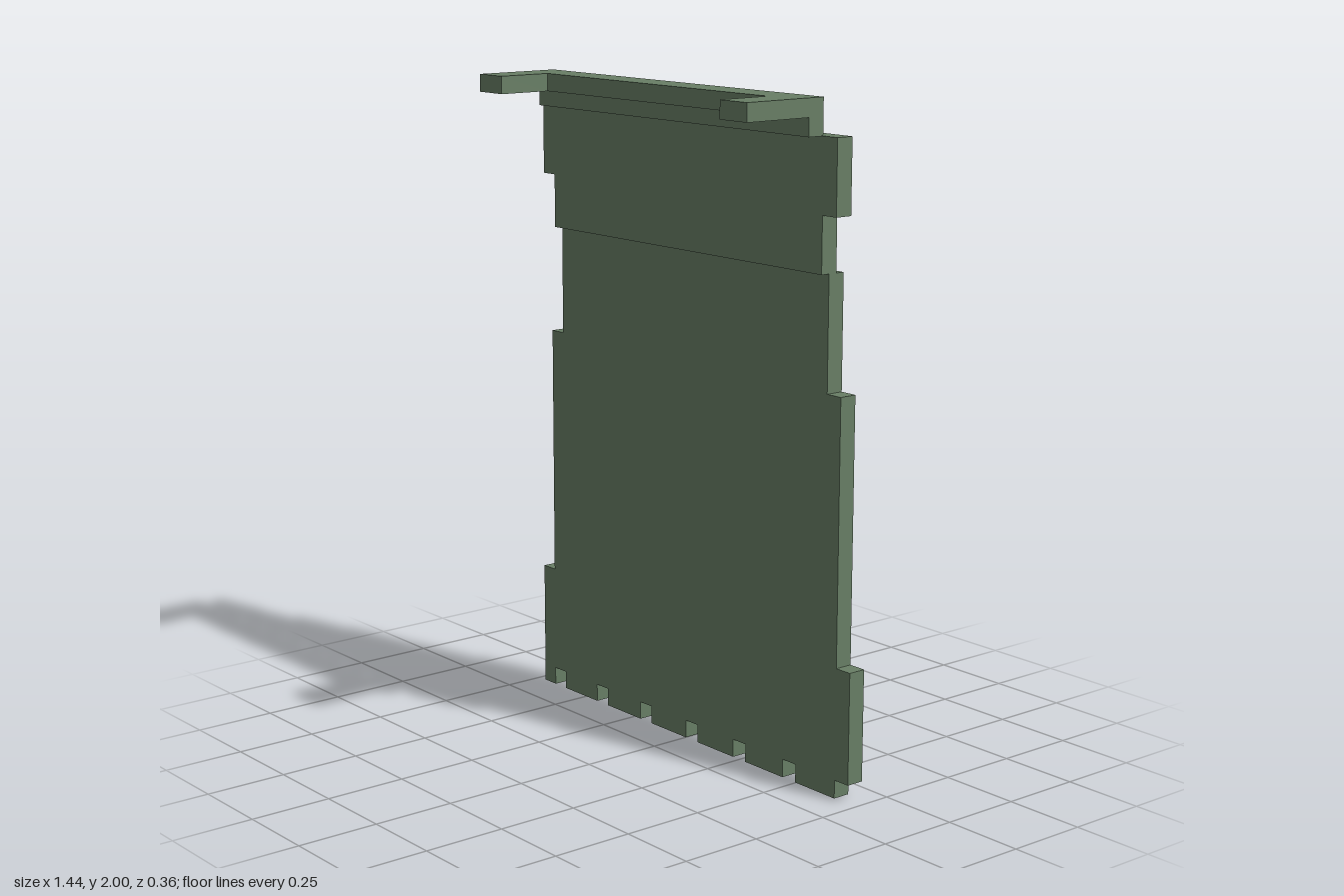
import * as THREE from 'three';

const U = 0.0553; // one step of the blocky outline

export function createModel() {
  const group = new THREE.Group();
  group.name = 'cape';
  const cloth = new THREE.MeshStandardMaterial({ color: 0x687e65 });
  cloth.name = 'sage green cloth';

  // Closed outline pushed from z = back by the given depth
  function slab(name, points, back, depth) {
    const shape = new THREE.Shape(points.map(([x, y]) => new THREE.Vector2(x, y)));
    const geometry = new THREE.ExtrudeGeometry(shape, { depth, bevelEnabled: false });
    geometry.translate(0, 0, back);
    const mesh = new THREE.Mesh(geometry, cloth);
    mesh.name = name;
    group.add(mesh);
    return mesh;
  }

  // Lower panel: widens in steps, with square notches along the hem
  const hem = [[-13 * U, 0]];
  for (let x = -12; x <= 12; x += 4) {
    hem.push([x * U, 0], [x * U, U], [(x + 1) * U, U]);
    if (x < 12) hem.push([(x + 1) * U, 0]);
  }
  const rightSide = [
    [13 * U, 0.39], [12 * U, 0.39], [12 * U, 1.175], [11 * U, 1.175], [11 * U, 1.513],
  ];
  const mirrored = (side) => side.map(([x, y]) => [-x, y]).reverse();
  slab('lowerPanel', [...hem, ...rightSide, ...mirrored(rightSide)], -0.18, U);

  // Upper panel: wider over the shoulders
  const shoulder = [
    [11 * U, 1.513], [11 * U, 1.677], [12 * U, 1.677], [12 * U, 1.894],
  ];
  slab('upperPanel', [...shoulder, ...mirrored(shoulder)], -0.152, U);

  // Strip hanging under the back of the collar
  slab('collarStrip', [
    [-11 * U, 1.894], [11 * U, 1.894], [11 * U, 1.947], [-11 * U, 1.947],
  ], -0.095, 0.053);

  // Flat collar with two arms reaching forward, drawn in plan and laid down
  const arm = [[11 * U, 0.095], [11 * U, -0.18], [9 * U, -0.18], [9 * U, -0.01]];
  const collar = slab('collar', [...arm, ...mirrored(arm)].reverse(), 0, 0.053);
  collar.geometry.rotateX(-Math.PI / 2);
  collar.position.y = 1.947;

  return group;
}
